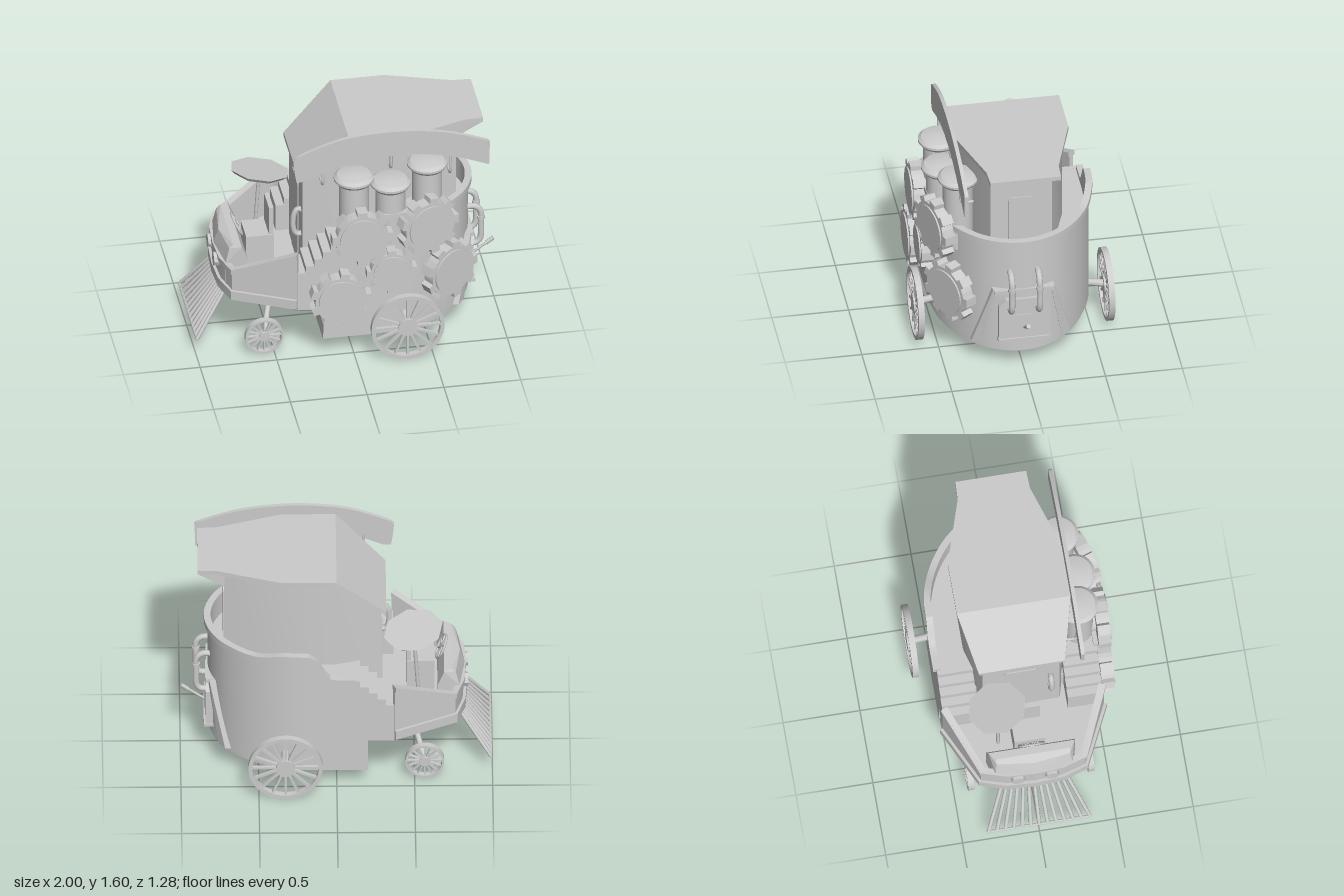
import * as THREE from 'three';
import { toCreasedNormals } from 'three/addons/utils/BufferGeometryUtils.js';
import { ConvexGeometry } from 'three/addons/geometries/ConvexGeometry.js';

const V = (x, y, z) => new THREE.Vector3(x, y, z);
const mat = new THREE.MeshStandardMaterial({ color: 0xcccccc, side: THREE.DoubleSide });
const flat = new THREE.MeshStandardMaterial({ color: 0xcccccc, side: THREE.DoubleSide, flatShading: true });
const at = (f, p) => (typeof f === 'function' ? f(p[0], p[1]) : f);
const ss = THREE.MathUtils.smoothstep;

// Half outline (x, z) completed by its mirror image
const mirrored = (half) => [...half, ...half.filter((p) => p[1] > 0.001).reverse().map(([x, z]) => [x, -z])];
// Plan line moved outward by d
const offset = (pts, d) => pts.map(([x, z], i) => {
  const a = pts[Math.max(i - 1, 0)], b = pts[Math.min(i + 1, pts.length - 1)];
  const tx = b[0] - a[0], tz = b[1] - a[1], l = Math.hypot(tx, tz);
  return [x - (tz / l) * d, z + (tx / l) * d];
});
const fromTriangles = (tris) => toCreasedNormals(new THREE.BufferGeometry().setFromPoints(tris), 0.5);

// Upright solid over a plan outline; lo and hi may vary over the plan
function prism(pts, lo, hi) {
  const tris = [], n = pts.length;
  const L = pts.map((p) => V(p[0], at(lo, p), p[1])), H = pts.map((p) => V(p[0], at(hi, p), p[1]));
  for (let i = 0; i < n; i++) {
    const j = (i + 1) % n;
    tris.push(L[i], L[j], H[j], L[i], H[j], H[i]);
  }
  for (const [a, b, c] of THREE.ShapeUtils.triangulateShape(pts.map((p) => new THREE.Vector2(...p)), []))
    tris.push(H[a], H[b], H[c], L[a], L[c], L[b]);
  return fromTriangles(tris);
}

// Thin wall following an open plan line, from offset d0 (inside) to d1 (outside)
function strip(pts, lo, hi, d0, d1) {
  const A = offset(pts, d0), B = offset(pts, d1), tris = [];
  const ring = pts.map((p, i) => [V(B[i][0], at(lo, p), B[i][1]), V(B[i][0], at(hi, p), B[i][1]),
    V(A[i][0], at(hi, p), A[i][1]), V(A[i][0], at(lo, p), A[i][1])]);
  for (let i = 0; i + 1 < ring.length; i++) for (let k = 0; k < 4; k++) {
    const m = (k + 1) % 4, a = ring[i][k], b = ring[i][m], c = ring[i + 1][m], d = ring[i + 1][k];
    tris.push(a, c, b, a, d, c);
  }
  for (const r of [ring[0], ring[ring.length - 1]]) tris.push(r[0], r[1], r[2], r[0], r[2], r[3]);
  return fromTriangles(tris);
}

export function createModel() {
  const model = new THREE.Group();
  const add = (name, geo, pos = [0, 0, 0], rot = [0, 0, 0], m = mat, parent = model) => {
    const mesh = new THREE.Mesh(geo, m);
    mesh.name = name;
    mesh.position.set(...pos);
    mesh.rotation.set(...rot);
    parent.add(mesh);
    return mesh;
  };
  const box = (name, x0, x1, y0, y1, z0, z1) =>
    add(name, new THREE.BoxGeometry(x1 - x0, y1 - y0, z1 - z0), [(x0 + x1) / 2, (y0 + y1) / 2, (z0 + z1) / 2]);
  const tube = (name, pts, r, seg = 24) =>
    add(name, new THREE.TubeGeometry(new THREE.CatmullRomCurve3(pts.map((p) => V(...p)), false, 'centripetal'), seg, r, 10));
  const rod = (name, a, b, r) => {
    const p = V(...a), q = V(...b), m = add(name, new THREE.CylinderGeometry(r, r, p.distanceTo(q), 8));
    m.position.copy(p).lerp(q, 0.5);
    m.quaternion.setFromUnitVectors(V(0, 1, 0), q.sub(p).normalize());
  };
  const convex = (name, pts) => add(name, new ConvexGeometry(pts.map((p) => V(...p))));

  // Main hull with a rounded stern
  const stern = new THREE.CatmullRomCurve3([V(0.1, 0, 0.52), V(0.33, 0, 0.505), V(0.55, 0, 0.42), V(0.72, 0, 0.28),
    V(0.8, 0, 0.14), V(0.825, 0, 0), V(0.8, 0, -0.14)]);
  const curve = stern.getPoints(36).filter((p) => p.z > -0.001).map((p) => [p.x, Math.max(p.z, 0)]);
  const hull = mirrored([...[-0.2, -0.12, -0.06, 0, 0.04, 0.07].map((x) => [x, 0.52]), ...curve]);
  const upper = hull.slice(1, -1);
  const rimTop = (x) => 0.88 + 0.18 * ss(x, 0.02, 0.18) - 0.05 * ss(x, 0.3, 0.55);
  add('hull', prism(hull, 0.18, 0.64));
  add('hullUpper', prism(upper, 0.64, 0.85));
  add('hullBase', prism(offset(hull, -0.022), 0.13, 0.18));
  add('parapet', strip(upper, 0.84, rimTop, -0.02, 0));
  add('parapetRim', strip(upper, (x) => rimTop(x) - 0.04, rimTop, -0.02, 0.024));

  // Cabin with a flared rear eave and a roof that slopes to the front
  const cabin = mirrored([[-0.29, 0.25], [0, 0.33], [0.35, 0.33], [0.72, 0.2]]).reverse();
  add('cabinWalls', prism(cabin, 0.47, (x) => Math.min(1.505, 1.505 + x * 0.95)));
  convex('rearEave', [-1, 1].flatMap((s) => [[0.715, 1.38, 0.2 * s], [0.715, 1.5, 0.2 * s], [0.89, 1.5, 0.23 * s]]));
  const eave = mirrored([[0, 0.37], [0.35, 0.37], [0.77, 0.235], [0.89, 0.23]]).reverse();
  add('roofTop', prism(eave, 1.5, 1.53));
  add('roofFront', prism(mirrored([[-0.32, 0.28], [0, 0.37]]).reverse(), (x) => 1.5 + x * 0.95, (x) => 1.53 + x * 0.95));
  const door = (w, h, r) => {
    const s = new THREE.Shape();
    s.moveTo(-w, 0).lineTo(w, 0).lineTo(w, h - r).quadraticCurveTo(w, h, w - r, h);
    s.lineTo(-w + r, h).quadraticCurveTo(-w, h, -w, h - r);
    return new THREE.ExtrudeGeometry(s, { depth: 0.012, bevelEnabled: false });
  };
  add('backDoor', door(0.085, 0.4, 0.03), [0.715, 0.88, 0], [0, Math.PI / 2, 0]);
  add('frontDoor', door(0.11, 0.6, 0.03), [-0.285, 0.48, 0], [0, -Math.PI / 2, 0]);

  // Driver's cab: tub, walls, hood
  const cab = mirrored([[-0.37, 0.52], [-0.76, 0.335], [-0.805, 0.18], [-0.815, 0]]).reverse();
  const cabTop = (x) => (x < -0.75 ? 0.62 : 0.62 + ((x + 0.76) / 0.39) * 0.19);
  add('cabFloor', prism(mirrored([[-0.2, 0.5], [-0.37, 0.52], [-0.76, 0.335], [-0.805, 0.18], [-0.815, 0]]), 0.4, 0.47));
  add('cabBand', strip(cab, 0.4, 0.465, -0.01, 0.024));
  convex('cabUnderside', [-1, 1].flatMap((s) => [[-0.78, 0.4, 0.3 * s], [-0.2, 0.4, 0.5 * s], [-0.37, 0.4, 0.5 * s],
    [-0.37, 0.34, 0.42 * s], [-0.2, 0.34, 0.42 * s]]));
  add('cabWalls', strip(cab, 0.45, cabTop, -0.02, 0.005));
  add('cabRail', strip(cab, (x) => cabTop(x) - 0.035, cabTop, -0.03, 0.018));
  convex('hood', [[-0.825, 0.47, 0], [-0.825, 0.62, 0], [-0.795, 0.72, 0], ...[-1, 1].flatMap((s) => [[-0.79, 0.47, 0.25 * s],
    [-0.79, 0.62, 0.25 * s], [-0.765, 0.72, 0.24 * s], [-0.74, 0.745, 0.24 * s], [-0.69, 0.745, 0.28 * s], [-0.65, 0.65, 0.29 * s], [-0.65, 0.47, 0.29 * s]])]);
  for (const s of [-1, 1]) {
    add('headlight', new THREE.CylinderGeometry(0.045, 0.05, 0.05, 8), [-0.822, 0.565, 0.11 * s], [0, 0, Math.PI / 2], flat);
    // Stairs beside the cabin door, and pipes under the cab
    for (let i = 0; i < 5; i++) box('stairStep', -0.37 + i * 0.055, -0.12, 0.38, 0.66 + i * 0.048, s > 0 ? 0.29 : -0.52, s > 0 ? 0.52 : -0.29);
    tube('underPipe', [[-0.39, 0.4, 0.24 * s], [-0.39, 0.29, 0.24 * s], [-0.34, 0.23, 0.24 * s], [-0.15, 0.2, 0.24 * s]], 0.025);
  }
  tube('doorHandle', [[-0.27, 0.92, 0.19], [-0.31, 0.94, 0.19], [-0.335, 0.9, 0.19], [-0.335, 0.78, 0.19],
    [-0.31, 0.75, 0.19], [-0.27, 0.76, 0.19]], 0.018);
  box('seat', -0.63, -0.45, 0.47, 0.7, -0.1, 0.1);
  box('seatBack', -0.48, -0.45, 0.7, 0.9, -0.09, 0.09);

  // Steering wheel
  const steering = new THREE.Group();
  steering.name = 'steeringWheel';
  steering.position.set(-0.675, 0.745, 0);
  steering.rotation.set(0, Math.PI / 2, 0);
  steering.rotateX(-0.42);
  model.add(steering);
  add('steeringRim', new THREE.TorusGeometry(0.08, 0.008, 6, 16), [0, 0, 0], [0, 0, 0], mat, steering);
  for (let i = 0; i < 4; i++) add('steeringSpoke', new THREE.BoxGeometry(0.16, 0.01, 0.008), [0, 0, 0], [0, 0, (i * Math.PI) / 4], mat, steering);
  rod('steeringColumn', [-0.675, 0.745, 0], [-0.74, 0.7, 0], 0.012);

  // Parasol
  add('parasol', new THREE.CylinderGeometry(0.195, 0.17, 0.025, 8), [-0.495, 1.005, -0.19], [-0.12, 0.2, -0.16], flat);
  rod('parasolPole', [-0.53, 0.47, -0.19], [-0.495, 1.0, -0.19], 0.012);

  // Cowcatcher: fanned bars
  for (let i = 0; i < 13; i++) {
    const t = i / 6 - 1;
    rod('cowcatcherBar', [-0.77, 0.42, 0.2 * t], [-0.99, 0.11, 0.33 * t], 0.012);
  }
  rod('cowcatcherTopBar', [-0.78, 0.41, -0.22], [-0.78, 0.41, 0.22], 0.014);
  rod('cowcatcherBottomBar', [-0.99, 0.108, -0.34], [-0.99, 0.108, 0.34], 0.009);

  // Spoked wheels and axles
  const wheel = (name, x, y, z, r, w) => {
    const g = new THREE.Group();
    g.name = name;
    g.position.set(x, y, z);
    model.add(g);
    const ring = new THREE.Shape().absarc(0, 0, r, 0, Math.PI * 2);
    ring.holes.push(new THREE.Path().absarc(0, 0, r * 0.89, 0, Math.PI * 2, true));
    const geo = new THREE.ExtrudeGeometry(ring, { depth: w, bevelEnabled: false, curveSegments: 32 });
    add('wheelRim', toCreasedNormals(geo.translate(0, 0, -w / 2), 0.5), [0, 0, 0], [0, 0, 0], mat, g);
    add('wheelHub', new THREE.CylinderGeometry(r * 0.26, r * 0.26, w * 1.1, 20), [0, 0, 0], [Math.PI / 2, 0, 0], mat, g);
    for (let i = 0; i < 8; i++) add('wheelSpokes', new THREE.BoxGeometry(r * 1.85, r * 0.065, w * 0.5), [0, 0, 0], [0, 0, (i * Math.PI) / 8], mat, g);
  };
  for (const s of [-1, 1]) {
    wheel('frontWheel', -0.565, 0.127, 0.39 * s, 0.125, 0.04);
    wheel('rearWheel', 0.33, 0.245, 0.62 * s, 0.238, 0.04);
    rod('rearAxle', [0.33, 0.28, 0.48 * s], [0.33, 0.25, 0.62 * s], 0.025);
  }
  tube('frontAxle', [[-0.565, 0.127, 0.39], [-0.535, 0.2, 0.3], [-0.48, 0.33, 0.13], [-0.47, 0.36, 0], [-0.48, 0.33, -0.13],
    [-0.535, 0.2, -0.3], [-0.565, 0.127, -0.39]], 0.018, 40);

  // Gears on the left flank: x, y, z of the back face, radius, turn about the upright, teeth
  const gears = [[0.04, 0.935, 0.53, 0.2, 0, 8], [-0.1, 0.48, 0.53, 0.2, 0, 9], [0.235, 0.645, 0.51, 0.165, 0, 8],
    [0.465, 0.945, 0.48, 0.21, 0.33, 9], [0.61, 0.545, 0.415, 0.21, 0.55, 9]];
  for (const [x, y, z, r, turn, n] of gears) {
    const g = new THREE.Group(), pts = [];
    g.name = 'gear';
    g.position.set(x, y, z);
    g.rotation.y = turn;
    model.add(g);
    for (let i = 0; i < n; i++) for (const [f, k] of [[0, 0.84], [0.25, 0.84], [0.5, 0.84], [0.54, 1], [0.96, 1]]) {
      const a = ((i + f) / n) * Math.PI * 2 + 0.2;
      pts.push(new THREE.Vector2(Math.cos(a) * r * k, Math.sin(a) * r * k));
    }
    add('gearTeeth', new THREE.ExtrudeGeometry(new THREE.Shape(pts), { depth: 0.08, bevelEnabled: false }), [0, 0, 0], [0, 0, 0], mat, g);
    add('gearFace', new THREE.CylinderGeometry(r * 0.73, r * 0.73, 0.09, 32), [0, 0, 0.045], [Math.PI / 2, 0, 0], mat, g);
    add('gearShaft', new THREE.CylinderGeometry(r * 0.4, r * 0.4, 0.2, 16), [0, 0, -0.08], [Math.PI / 2, 0, 0], mat, g);
  }

  // Three domed boilers
  for (const [x, z, top] of [[0.015, 0.42, 1.33], [0.25, 0.44, 1.28], [0.5, 0.375, 1.36]]) {
    const profile = [[0, 0.82 - top], [0.097, 0.82 - top], [0.097, -0.07], [0.115, -0.065], [0.13, -0.045], [0.13, -0.03], [0.11, -0.012], [0.06, -0.002], [0, 0]];
    add('boiler', toCreasedNormals(new THREE.LatheGeometry(profile.map((p) => new THREE.Vector2(...p)), 28), 0.5), [x, top, z]);
  }

  // Arched signboard on three hooks
  const sign = new THREE.Shape();
  sign.moveTo(-0.375, 1.44).quadraticCurveTo(-0.37, 1.36, -0.355, 1.28).lineTo(-0.31, 1.28);
  sign.quadraticCurveTo(0.28, 1.56, 0.9, 1.28).lineTo(0.905, 1.45);
  sign.splineThru([[0.86, 1.475], [0.6, 1.56], [0.28, 1.597], [-0.05, 1.573], [-0.31, 1.485], [-0.375, 1.44]].map((p) => new THREE.Vector2(...p)));
  add('signboard', toCreasedNormals(new THREE.ExtrudeGeometry(sign, { depth: 0.025, bevelEnabled: false, curveSegments: 8 }), 0.5), [0, 0, 0.375]);
  for (const [x, y] of [[-0.18, 1.23], [0.265, 1.31], [0.65, 1.23]])
    tube('signHook', [[x, y + 0.14, 0.38], [x, y + 0.02, 0.38], [x, y, 0.365], [x, y, 0.3]], 0.01);

  // Stern hatch: frame, tank, lever and pipes
  for (const s of [-1, 1]) {
    convex('hatchFrameSide', [0, -0.06].flatMap((d) => [[0.76 + d, 0.18, 0.26 * s], [0.715 + d, 0.18, 0.325 * s],
      [0.825 + d, 0.63, 0.175 * s], [0.815 + d, 0.63, 0.2 * s]]));
    tube('sternPipe', [[0.78, 0.765, 0.09 * s], [0.86, 0.765, 0.09 * s], [0.895, 0.73, 0.09 * s], [0.9, 0.62, 0.09 * s],
      [0.895, 0.52, 0.09 * s], [0.87, 0.49, 0.09 * s], [0.8, 0.49, 0.09 * s]], 0.02);
    add('pipeCollar', new THREE.CylinderGeometry(0.026, 0.026, 0.02, 14), [0.9, 0.68, 0.09 * s]);
  }
  box('hatchFrameTop', 0.76, 0.835, 0.605, 0.632, -0.195, 0.195);
  convex('tank', [0.74, 0.84].flatMap((x) => [-1, 1].flatMap((s) => [[x, 0.25, 0.165 * s], [x, 0.51, 0.165 * s], [x, 0.56, 0.12 * s]])));
  box('tankLedge', 0.74, 0.85, 0.24, 0.26, -0.17, 0.17);
  box('leverPlate', 0.82, 0.846, 0.29, 0.44, -0.045, 0.045);
  rod('lever', [0.83, 0.33, 0], [0.99, 0.445, 0], 0.009);
  rod('leverGrip', [0.95, 0.416, 0], [0.995, 0.45, 0], 0.014);
  return model;
}
